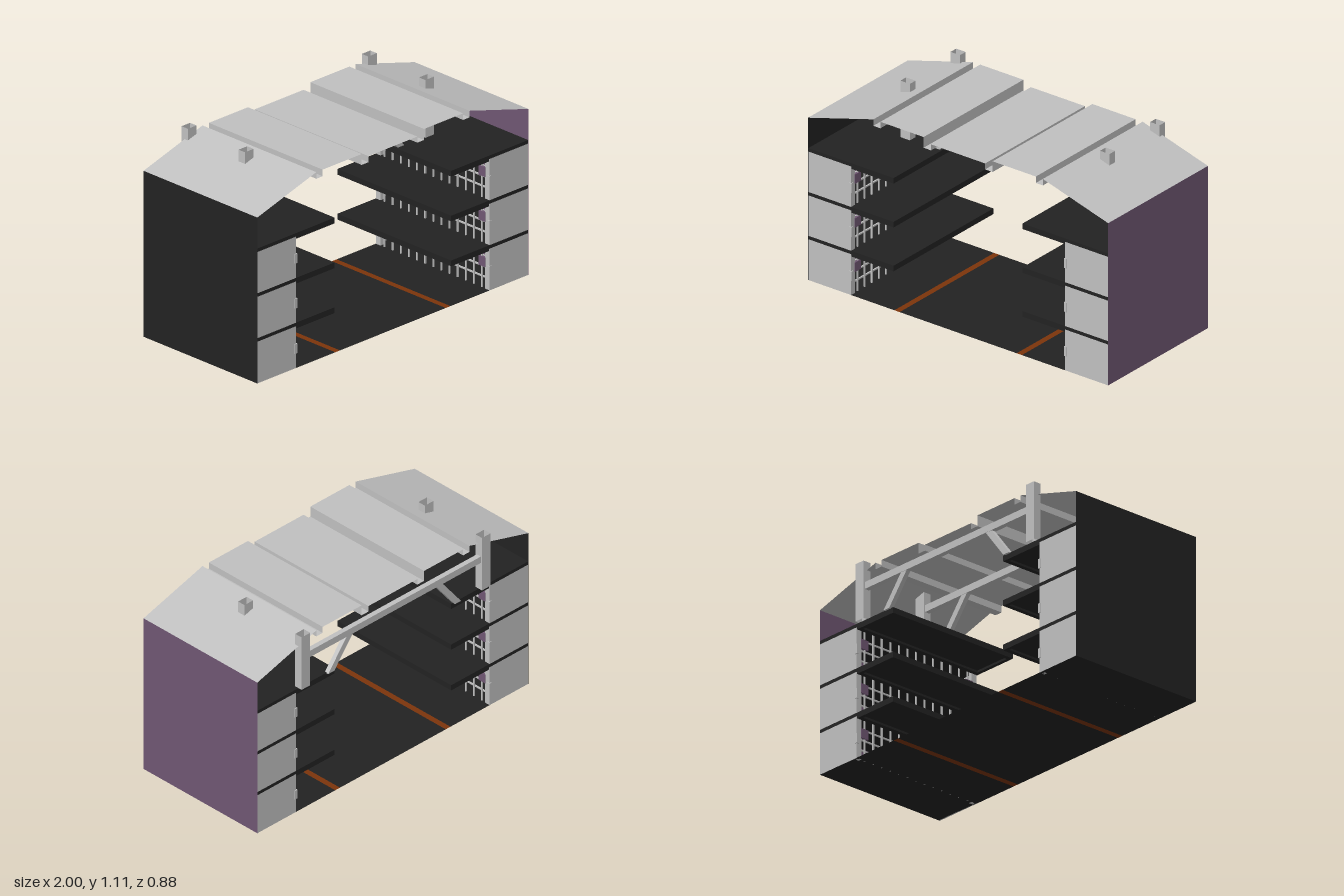
import * as THREE from 'three';

const mat = (name, color, double = false) => {
  const m = new THREE.MeshStandardMaterial({ color });
  m.name = name;
  if (double) m.side = THREE.DoubleSide;
  return m;
};

const Z0 = -0.415, Z1 = 0.435, ZC = (Z0 + Z1) / 2, DEPTH = Z1 - Z0;

export function createModel() {
  const gray = mat('steelGray', 0xc0c0c0, true);
  const dark = mat('charcoal', 0x222222, true);
  const purple = mat('mutedPurple', 0x705773, true);
  const orange = mat('burntOrange', 0x7c340b, true);

  const model = new THREE.Group();
  model.name = 'storageShelter';

  const add = (parent, name, geo, material) => {
    const m = new THREE.Mesh(geo, material);
    m.name = name;
    parent.add(m);
    return m;
  };
  // box given by its minimum and maximum corners
  const box = (parent, name, material, x0, x1, y0, y1, z0, z1) => {
    const m = add(parent, name, new THREE.BoxGeometry(Math.abs(x1 - x0), y1 - y0, z1 - z0), material);
    m.position.set((x0 + x1) / 2, (y0 + y1) / 2, (z0 + z1) / 2);
    return m;
  };
  // thin sheet swept along z from a profile in x and y
  const sheet = (parent, name, material, points) => {
    const pos = [];
    for (let i = 0; i < points.length - 1; i++) {
      const [ax, ay] = points[i], [bx, by] = points[i + 1];
      pos.push(ax, ay, Z0, ax, ay, Z1, bx, by, Z1, ax, ay, Z0, bx, by, Z1, bx, by, Z0);
    }
    const g = new THREE.BufferGeometry();
    g.setAttribute('position', new THREE.Float32BufferAttribute(pos, 3));
    g.computeVertexNormals();
    return add(parent, name, g, material);
  };

  // floor, split so that the stripes show on both faces
  const stripes = [-0.425, -0.39, 0.39, 0.425];
  const xs = [-1, ...stripes, 1];
  for (let i = 0; i < 5; i++) {
    const striped = i % 2 === 1;
    sheet(model, striped ? 'floorStripe' : 'floor', striped ? orange : dark, [[xs[i], 0], [xs[i + 1], 0]]);
  }

  // end walls
  sheet(model, 'rightEndWall', dark, [[-1, 0], [-1, 0.953]]);
  sheet(model, 'leftEndWall', purple, [[1, 0.953], [1, 0]]);

  // roof: sloping sides, flat panels and sunken channels
  const half = [[-1, 0.953], [-0.565, 1.078], [-0.565, 1.04], [-0.518, 1.04], [-0.518, 1.078],
    [-0.23, 1.078], [-0.23, 1.015], [-0.18, 1.015], [-0.18, 1.05]];
  sheet(model, 'roof', gray, [...half, ...half.map(([x, y]) => [-x, y]).reverse()]);

  // shelving on both sides
  for (const s of [-1, 1]) {
    const rack = new THREE.Group();
    rack.name = s < 0 ? 'rightShelving' : 'leftShelving';
    model.add(rack);
    for (let k = 0; k < 3; k++) {
      const top = 0.26 + k * 0.2575;
      const base = k === 0 ? 0 : top - 0.2575;
      const under = top - 0.02;
      // deck and the rails below it
      box(rack, 'shelfDeck', dark, s * 0.998, s * 0.43, under, top, Z0, Z1);
      for (const x of [0.43, 0.685]) {
        box(rack, 'shelfLongRail', dark, s * x, s * (x + 0.025), top - 0.033, under, Z0, Z1);
      }
      for (const z of [Z0, Z1 - 0.02]) {
        box(rack, 'shelfCrossRail', dark, s * 0.455, s * 0.685, top - 0.033, under, z, z + 0.02);
      }
      for (const e of [-1, 1]) {
        const end = ZC + e * DEPTH / 2;
        const a = (d0, d1) => [Math.min(end - e * d0, end - e * d1), Math.max(end - e * d0, end - e * d1)];
        // closing panel, end post, hinge and latch
        box(rack, 'endPanel', gray, s * 0.998, s * 0.713, base, under, ...a(0, 0.008));
        box(rack, 'cagePost', gray, s * 0.735, s * 0.713, base, under, ...a(0.008, 0.035));
        box(rack, 'hinge', gray, s * 0.725, s * 0.708, base + 0.085, base + 0.14, ...a(-0.004, 0.012));
        box(rack, 'latch', purple, s * 0.74, s * 0.709, base + 0.125, base + 0.18, ...a(0.03, 0.08));
      }
      // cage of thin bars facing the aisle
      for (let i = 1; i < 14; i++) {
        const z = Z0 + DEPTH * i / 14;
        box(rack, 'cageBar', gray, s * 0.722, s * 0.714, base, under, z - 0.004, z + 0.004);
      }
      for (let j = 1; j < 4; j++) {
        const y = base + (under - base) * j / 4;
        box(rack, 'cageRung', gray, s * 0.73, s * 0.722, y - 0.004, y + 0.004, Z0 + 0.03, Z1 - 0.03);
      }
    }
  }

  // roof frames: open square posts, crossbeam and braces
  for (const z of [-0.415, 0.012]) {
    const frame = new THREE.Group();
    frame.name = 'roofFrame';
    frame.position.z = z;
    model.add(frame);
    box(frame, 'crossbeam', gray, -0.65, 0.65, 0.945, 0.985, -0.015, 0.015);
    for (const s of [-1, 1]) {
      const tube = new THREE.CylinderGeometry(Math.SQRT1_2, Math.SQRT1_2, 1, 4, 1, true).toNonIndexed();
      tube.rotateY(Math.PI / 4);
      tube.scale(0.063, 0.332, 0.048);
      tube.computeVertexNormals();
      const post = add(frame, 'post', tube, gray);
      post.position.set(s * 0.665, 0.775 + 0.166, 0);
      const shape = new THREE.Shape([[0.49, 0.772], [0.445, 0.772], [0.305, 0.95], [0.35, 0.95]]
        .map(([x, y]) => new THREE.Vector2(s * x, y)));
      const brace = new THREE.ExtrudeGeometry(shape, { depth: 0.026, bevelEnabled: false });
      brace.translate(0, 0, -0.013);
      add(frame, 'brace', brace, gray);
    }
  }

  return model;
}
